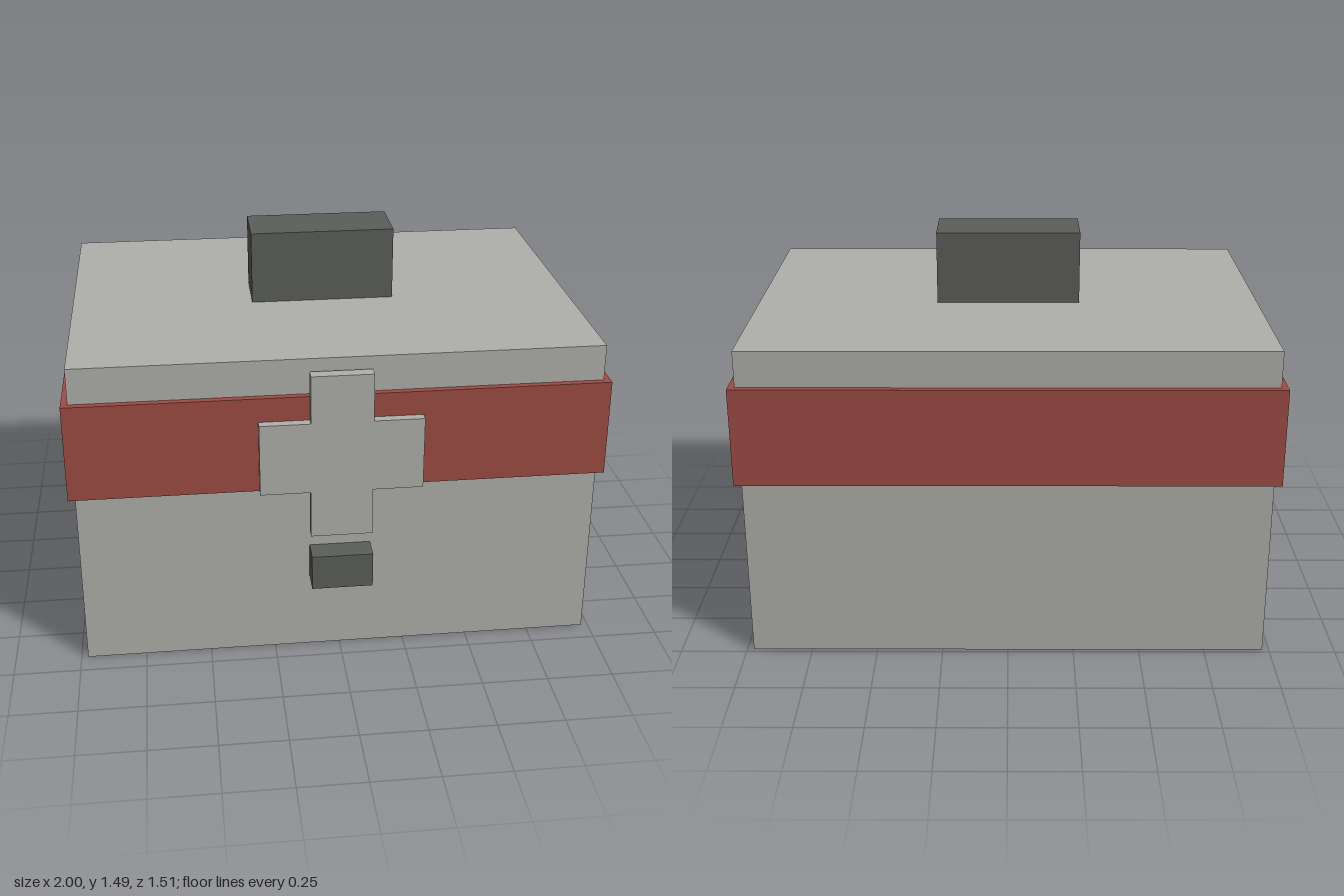
import * as THREE from 'three';

const material = (name, color) => {
  const m = new THREE.MeshStandardMaterial({ color });
  m.name = name;
  return m;
};

export function createModel() {
  const group = new THREE.Group();
  group.name = 'firstAidBox';
  const grey = material('lightGrey', 0xafb0ab);
  const red = material('red', 0x9e4c44);
  const dark = material('darkGrey', 0x5c5e5b);

  const add = (name, geometry, mat) => {
    const mesh = new THREE.Mesh(geometry, mat);
    mesh.name = name;
    group.add(mesh);
    return mesh;
  };

  // Box given by its limits on each axis
  const box = (name, mat, [x0, x1], [y0, y1], [z0, z1]) =>
    add(name, new THREE.BoxGeometry(x1 - x0, y1 - y0, z1 - z0), mat)
      .position.set((x0 + x1) / 2, (y0 + y1) / 2, (z0 + z1) / 2);

  // Case, the band around it, lid handle and front latch
  box('caseBody', grey, [-0.975, 0.975], [0, 1.21], [-0.732, 0.665]);
  box('band', red, [-1, 1], [0.7, 1.073], [-0.757, 0.69]);
  box('handle', dark, [-0.277, 0.277], [1.21, 1.49], [-0.15, 0.082]);
  box('latch', dark, [-0.115, 0.115], [0.305, 0.443], [0.665, 0.757]);

  // Cross plate on the front
  const w = 0.115, arm = 0.302;
  const cross = new THREE.Shape([
    [-w, 0.515], [w, 0.515], [w, 0.7], [arm, 0.7], [arm, 0.98], [w, 0.98],
    [w, 1.165], [-w, 1.165], [-w, 0.98], [-arm, 0.98], [-arm, 0.7], [-w, 0.7],
  ].map(([x, y]) => new THREE.Vector2(x, y)));
  add('crossPlate', new THREE.ExtrudeGeometry(cross, { depth: 0.046, bevelEnabled: false }), grey)
    .position.z = 0.679;

  return group;
}
